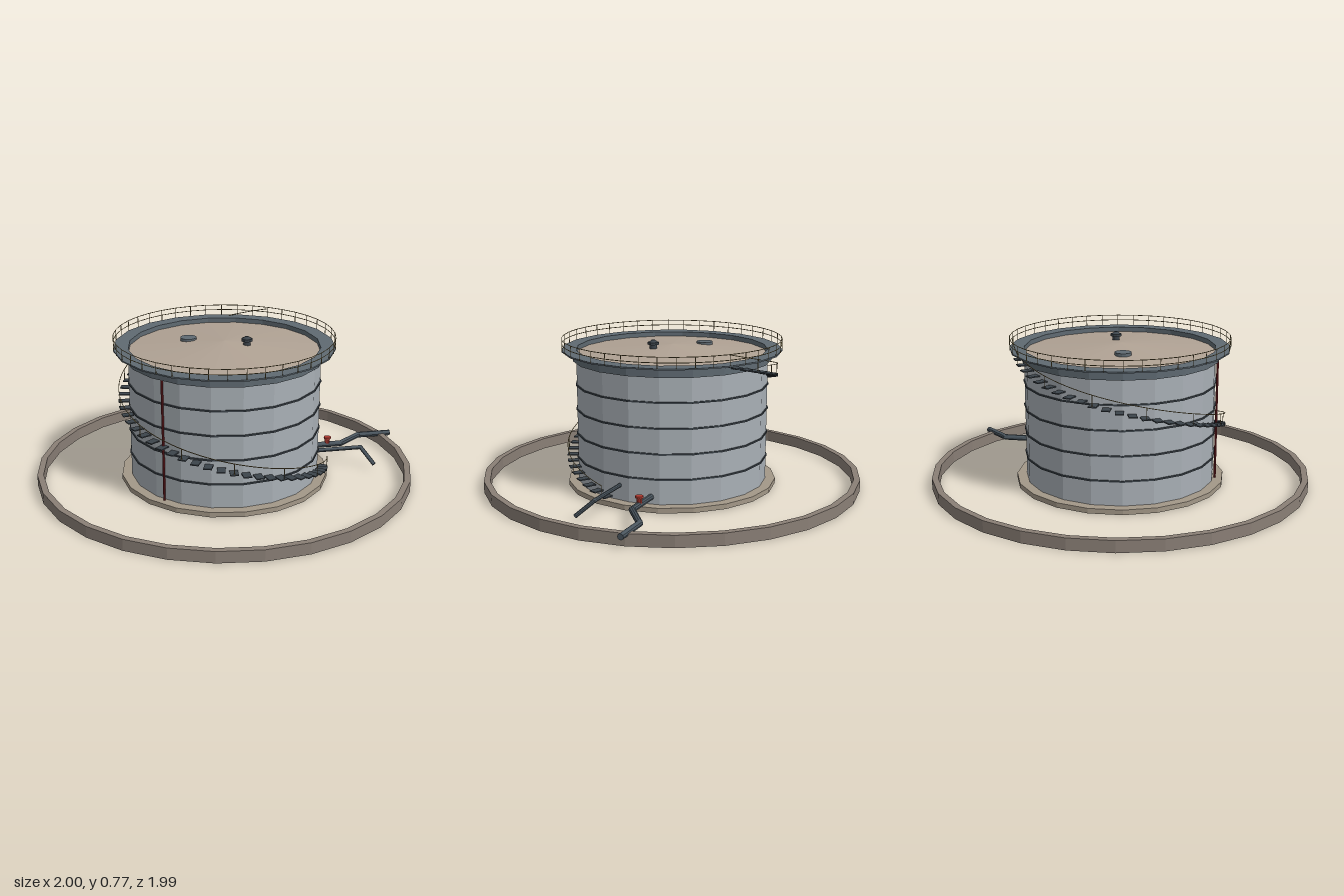
import * as THREE from 'three';

const mat = (color, extra = {}) => new THREE.MeshStandardMaterial({ color, flatShading: true, ...extra });
const COLORS = {
  earth: mat(0x8a7f76), slab: mat(0xa39888), roof: mat(0xb0a294, { side: THREE.DoubleSide }),
  shell: mat(0xa9b0b6, { side: THREE.DoubleSide }), blue: mat(0x5f6a72), dark: mat(0x3c444b),
  rail: mat(0x8a7a50), red: mat(0xb03a30), maroon: mat(0x7a2226), pipe: mat(0x4a555e),
};

export function createModel() {
  const root = new THREE.Group();
  root.name = 'storageTank';
  const V = (x, y, z) => new THREE.Vector3(x, y, z);
  const polar = (r, a, y) => V(r * Math.cos(a), y, r * Math.sin(a));
  const deg = THREE.MathUtils.degToRad;

  const add = (parent, name, geo, material, x = 0, y = 0, z = 0) => {
    const m = new THREE.Mesh(geo, material);
    m.name = name;
    m.position.set(x, y, z);
    parent.add(m);
    return m;
  };
  const group = (name) => {
    const g = new THREE.Group();
    g.name = name;
    root.add(g);
    return g;
  };
  // Rectangular-section ring, closed on all sides
  const ring = (inner, outer, y0, y1, sides) => new THREE.LatheGeometry(
    [[inner, y0], [outer, y0], [outer, y1], [inner, y1], [inner, y0]].map(p => new THREE.Vector2(...p)), sides);
  const disc = (r, h, sides = 20, rTop = r) => new THREE.CylinderGeometry(rTop, r, h, sides);
  // Straight rod between two points
  const rod = (parent, name, a, b, r, material, sides = 5) => {
    const d = b.clone().sub(a);
    const m = add(parent, name, new THREE.CylinderGeometry(r, r, d.length(), sides), material);
    m.position.copy(a).add(b).multiplyScalar(0.5);
    m.quaternion.setFromUnitVectors(V(0, 1, 0), d.normalize());
  };
  // Pipe run with mitred-looking ball joints
  const pipeRun = (name, pts, r) => {
    const g = group(name);
    for (let i = 1; i < pts.length; i++) {
      rod(g, 'pipeSection', pts[i - 1], pts[i], r, COLORS.pipe, 10);
      if (i < pts.length - 1) add(g, 'elbow', new THREE.SphereGeometry(r, 10, 6), COLORS.pipe, ...pts[i].toArray());
    }
    return g;
  };

  // Containment wall and foundation
  add(root, 'containmentWall', ring(0.96, 0.9925, 0, 0.06, 28), COLORS.earth);
  add(root, 'foundation', disc(0.55, 0.026), COLORS.slab, 0, 0.013);

  // Shell with seam bands between the plate courses
  add(root, 'shell', new THREE.CylinderGeometry(0.498, 0.498, 0.675, 20, 1, true), COLORS.shell, 0, 0.3625);
  for (let i = 1; i <= 4; i++) {
    const y = 0.025 + i * 0.128;
    add(root, 'seamBand', ring(0.495, 0.504, y - 0.004, y + 0.004, 20), COLORS.dark);
  }

  // Top rim, walkway, shallow cone roof
  add(root, 'topRim', ring(0.496, 0.516, 0.662, 0.712, 20), COLORS.blue);
  add(root, 'walkway', ring(0.496, 0.572, 0.71, 0.717, 20), COLORS.blue);
  add(root, 'roof', new THREE.ConeGeometry(0.498, 0.043, 20, 1, true), COLORS.roof, 0, 0.7135);

  // Roof fittings
  add(root, 'hatch', disc(0.043, 0.016, 16), COLORS.blue, -0.17, 0.722, -0.112);
  const vent = group('roofVent');
  vent.position.set(0.107, 0.725, 0.055);
  add(vent, 'ventNeck', disc(0.019, 0.03, 12), COLORS.dark, 0, 0.01);
  add(vent, 'ventCap', disc(0.029, 0.012, 12), COLORS.dark, 0, 0.026);
  add(vent, 'ventTop', disc(0.024, 0.012, 12, 0.008), COLORS.dark, 0, 0.038);

  // Walkway guard rail
  const guard = group('guardRail');
  for (const y of [0.745, 0.772]) {
    const t = add(guard, 'railRing', new THREE.TorusGeometry(0.57, 0.002, 4, 40), COLORS.rail, 0, y);
    t.rotation.x = Math.PI / 2;
  }
  for (let i = 0; i < 40; i++) {
    const a = (i / 40) * Math.PI * 2;
    rod(guard, 'railPost', polar(0.57, a, 0.715), polar(0.57, a, 0.773), 0.0018, COLORS.rail, 4);
  }

  // Spiral stair wrapping from the pipe side past the front, left and back
  const stair = group('spiralStair');
  const STEPS = 44, A0 = deg(14), A1 = deg(306), Y0 = 0.04, Y1 = 0.708;
  const at = (t) => ({ a: A0 + (A1 - A0) * t, y: Y0 + (Y1 - Y0) * t });
  const railPoints = [];
  for (let i = 0; i < STEPS; i++) {
    const { a, y } = at(i / (STEPS - 1));
    const p = polar(0.525, a, y);
    const tread = add(stair, 'tread', new THREE.BoxGeometry(0.056, 0.006, 0.042), COLORS.dark, p.x, p.y, p.z);
    tread.rotation.y = -a;
    railPoints.push(polar(0.55, a, y + 0.06));
    if (i % 4 === 0) rod(stair, 'stairPost', polar(0.55, a, y), polar(0.55, a, y + 0.06), 0.002, COLORS.rail, 4);
  }
  add(stair, 'handrail', new THREE.TubeGeometry(new THREE.CatmullRomCurve3(railPoints), 120, 0.0022, 4), COLORS.rail);

  // Vertical riser on the shell
  rod(root, 'riser', V(-0.37, 0.026, 0.345), V(-0.37, 0.662, 0.345), 0.006, COLORS.maroon, 8);

  // Outlet pipe with valve, and the drain pipe
  const outlet = pipeRun('outletPipe', [V(0.48, 0.062, -0.11), V(0.682, 0.062, -0.11),
    V(0.82, 0.058, -0.22), V(1.0075, 0.058, -0.22)], 0.016);
  add(outlet, 'valveBody', disc(0.014, 0.04, 10), COLORS.red, 0.605, 0.082, -0.11);
  add(outlet, 'valveWheel', disc(0.02, 0.01, 12), COLORS.red, 0.605, 0.102, -0.11);
  pipeRun('drainPipe', [V(0.48, 0.103, 0.055), V(0.745, 0.103, 0.055), V(0.8, 0.03, 0.132)], 0.011);

  root.position.x = -0.0075;
  const model = new THREE.Group();
  model.name = 'model';
  model.add(root);
  return model;
}
